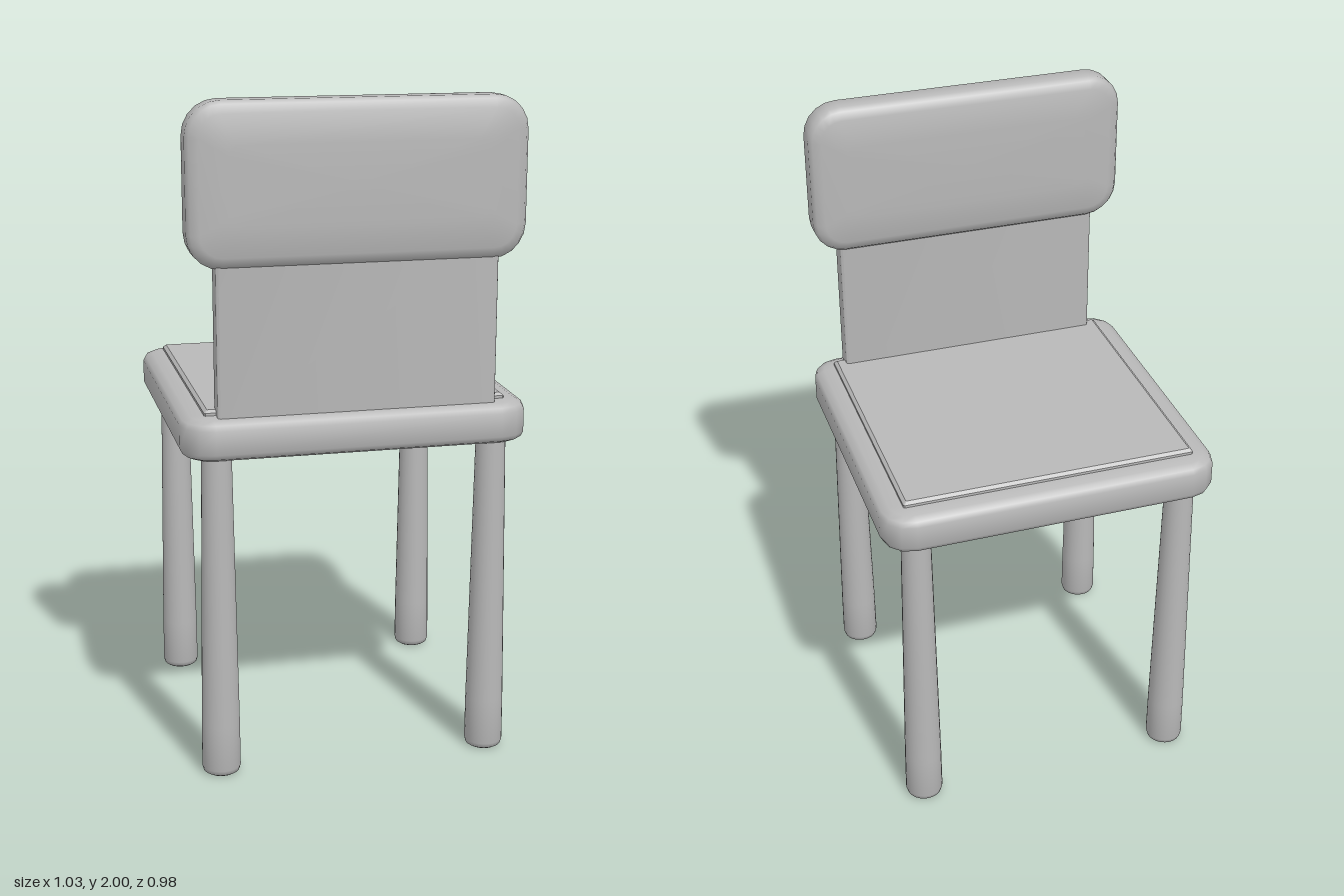
import * as THREE from 'three';
import { toCreasedNormals } from 'three/addons/utils/BufferGeometryUtils.js';

// Rounded slab lofted through [inset, height] rings, lowest ring first.
function slab(width, depth, radius, segments, profile, crease) {
  const pos = [], index = [], n = 4 * (segments + 1);
  for (const [inset, y] of profile) {
    const r = Math.max(radius - inset, radius * 0.3);
    const cx = width / 2 - inset - r, cz = depth / 2 - inset - r;
    for (let c = 0; c < 4; c++) {
      const sx = c === 0 || c === 3 ? 1 : -1, sz = c < 2 ? 1 : -1;
      for (let s = 0; s <= segments; s++) {
        const a = (c + s / segments) * Math.PI / 2;
        pos.push(sx * cx + r * Math.cos(a), y, sz * cz + r * Math.sin(a));
      }
    }
  }
  const last = (profile.length - 1) * n, bottom = profile.length * n, top = bottom + 1;
  pos.push(0, profile[0][1], 0, 0, profile[profile.length - 1][1], 0);
  for (let i = 0; i < n; i++) {
    const j = (i + 1) % n;
    for (let k = 0; k < last; k += n) {
      index.push(k + i, k + n + i, k + j, k + j, k + n + i, k + n + j);
    }
    index.push(bottom, i, j, top, last + j, last + i);
  }
  const geo = new THREE.BufferGeometry();
  geo.setAttribute('position', new THREE.Float32BufferAttribute(pos, 3));
  geo.setIndex(index);
  return toCreasedNormals(geo, crease);
}

export function createModel() {
  const chair = new THREE.Group();
  chair.name = 'chair';
  const grey = new THREE.MeshStandardMaterial({ color: 0xb8b8b8 });
  grey.name = 'grey';

  const add = (name, geo, x, y, z) => {
    const mesh = new THREE.Mesh(geo, grey);
    mesh.name = name;
    mesh.position.set(x, y, z);
    chair.add(mesh);
    return mesh;
  };

  // Seat with softly rounded rims
  add('seat', slab(1.03, 0.976, 0.09, 3, [
    [0.09, 0.98], [0.03, 0.985], [0.008, 0.995], [0, 1.01],
    [0, 1.08], [0.008, 1.095], [0.03, 1.105], [0.06, 1.11],
  ], 0.9), 0, 0, 0);

  // Thin bevelled pad on the seat
  add('seatPad', slab(0.894, 0.844, 0.004, 1, [
    [0, 1.1], [0, 1.118], [0.01, 1.126],
  ], 0.3), 0, 0, 0);

  // Flat panel joining the seat to the headboard
  add('backPanel', slab(0.824, 0.066, 0.008, 2, [
    [0, 1.09], [0, 1.6],
  ], 0.9), 0, 0, 0.417);

  // Pillow-shaped board at the top of the back
  const board = add('backBoard', slab(0.984, 0.467, 0.1, 5, [
    [0.12, -0.0575], [0.035, -0.052], [0.01, -0.043], [0, -0.028],
    [0, 0.028], [0.01, 0.043], [0.035, 0.052], [0.12, 0.0575],
  ], 1.2), 0, 1.767, 0.413);
  board.rotation.x = Math.PI / 2;

  // Four tapered legs with rounded feet
  const legProfile = [[0, 0], [0.045, 0], [0.054, 0.006], [0.058, 0.02], [0.057, 0.16], [0.044, 1.0]]
    .map(([r, y]) => new THREE.Vector2(r, y));
  const legGeo = toCreasedNormals(new THREE.LatheGeometry(legProfile, 24), 0.9);
  for (const [side, x] of [['Left', 0.412], ['Right', -0.412]]) {
    add('front' + side + 'Leg', legGeo, x, 0, 0.413);
    add('back' + side + 'Leg', legGeo, x, 0, -0.413);
  }
  return chair;
}
